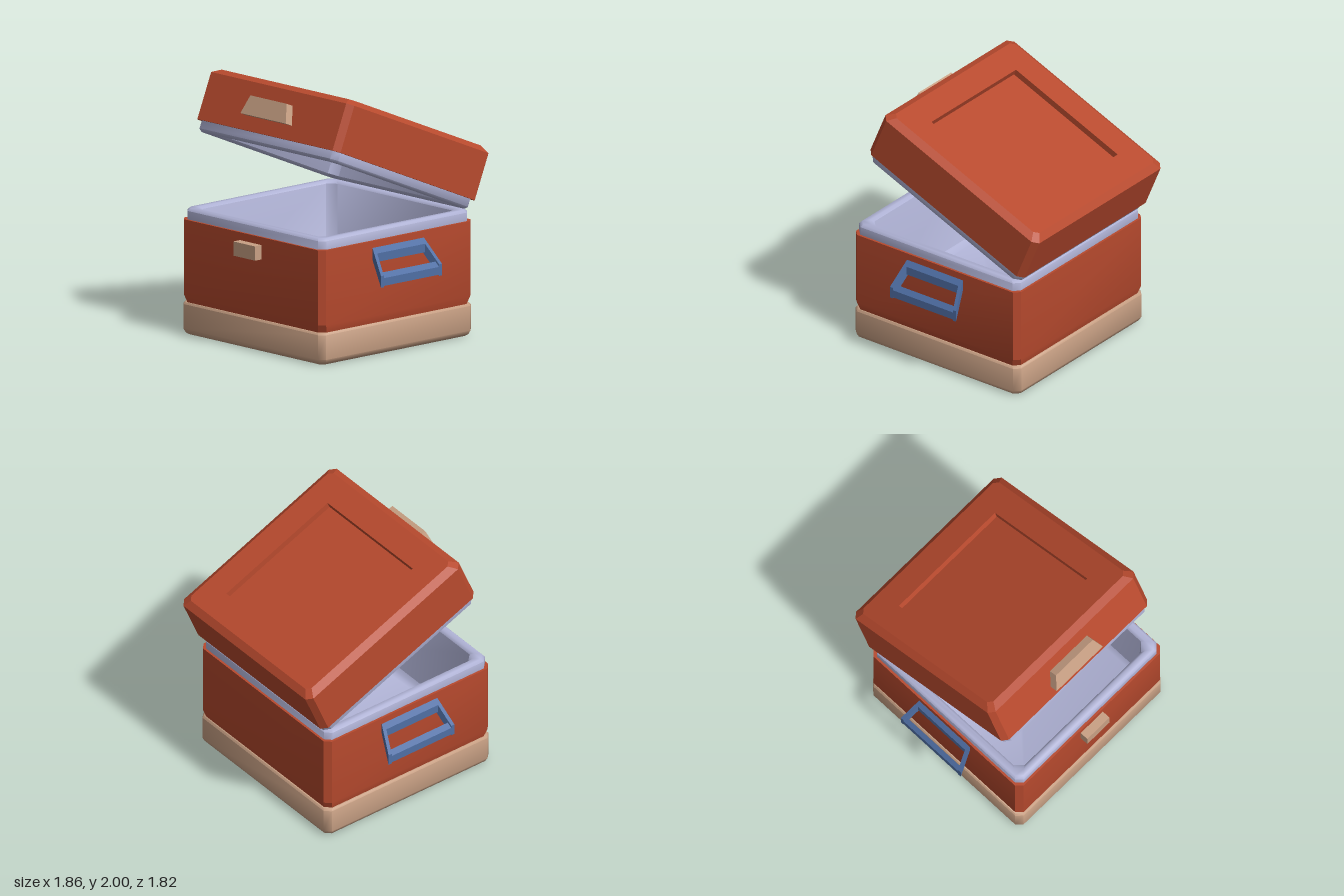
import * as THREE from 'three';
import { toCreasedNormals } from 'three/addons/utils/BufferGeometryUtils.js';

const mat = (name, color) => new THREE.MeshStandardMaterial({ name, color });

// Stacks corner-cut rectangles given as [half width, height, corner cut]; caps face down at the start, up at the end
function loft(rings, crease, startCap, endCap) {
  const pos = [], idx = [];
  for (const [hx, y, c] of rings) {
    const hz = hx + 0.005;
    const outline = [
      [-hx + c, hz], [hx - c, hz], [hx, hz - c], [hx, -hz + c],
      [hx - c, -hz], [-hx + c, -hz], [-hx, -hz + c], [-hx, hz - c],
    ];
    for (const [x, z] of outline) pos.push(x, y, z);
  }
  for (let r = 0; r < rings.length - 1; r++) {
    for (let i = 0; i < 8; i++) {
      const a = r * 8 + i, b = r * 8 + (i + 1) % 8;
      idx.push(a, b, b + 8, a, b + 8, a + 8);
    }
  }
  const last = (rings.length - 1) * 8;
  for (let i = 1; i < 7; i++) {
    if (startCap) idx.push(0, i + 1, i);
    if (endCap) idx.push(last, last + i, last + i + 1);
  }
  const geo = new THREE.BufferGeometry();
  geo.setAttribute('position', new THREE.Float32BufferAttribute(pos, 3));
  geo.setIndex(idx);
  return toCreasedNormals(geo, crease);
}

// Straight prism from an outline in x and y, starting at z = 0
function prism(points, depth) {
  const shape = new THREE.Shape(points.map(([x, y]) => new THREE.Vector2(x, y)));
  return new THREE.ExtrudeGeometry(shape, { depth, bevelEnabled: false });
}

function addMesh(parent, name, geo, material) {
  const mesh = new THREE.Mesh(geo, material);
  mesh.name = name;
  parent.add(mesh);
  return mesh;
}

// Carry handle on the +x side: two splayed arms joined by two bars, sloping down and out
function makeHandle(material) {
  const handle = new THREE.Group();
  const slopeY = x => 0.84 - (x - 0.78) * 1.267;
  const slab = (x0, x1, drop, h) => [
    [x0, slopeY(x0) - drop - h], [x1, slopeY(x1) - drop - h],
    [x1, slopeY(x1) - drop], [x0, slopeY(x0) - drop],
  ];
  for (const side of [-1, 1]) {
    const arm = prism(slab(0.775, 0.93, 0, 0.09), 0.03);
    const p = arm.attributes.position;
    for (let i = 0; i < p.count; i++) {
      const splay = 0.265 + (p.getX(i) - 0.78) / 0.15 * 0.05;
      p.setZ(i, p.getZ(i) - 0.015 + side * (splay - 0.015));
    }
    arm.computeVertexNormals();
    addMesh(handle, 'handleArm', arm, material);
  }
  addMesh(handle, 'handleMount', prism(slab(0.775, 0.815, 0, 0.065), 0.52), material).position.z = -0.26;
  addMesh(handle, 'handleGrip', prism(slab(0.9, 0.93, 0.02, 0.06), 0.58), material).position.z = -0.29;
  return handle;
}

export function createModel() {
  const red = mat('red shell', 0xb84a2e);
  const tan = mat('tan trim', 0xc8a084);
  const lining = mat('pale lining', 0xb0b3d6);
  const blue = mat('blue handle', 0x4f6fa5);

  const model = new THREE.Group();
  model.name = 'coolBox';

  // Lower box
  const body = new THREE.Group();
  body.name = 'body';
  body.position.z = 0.054;
  model.add(body);

  addMesh(body, 'base', loft([
    [0.745, 0, 0.03], [0.77, 0.015, 0.04], [0.785, 0.045, 0.045],
    [0.785, 0.235, 0.045], [0.775, 0.25, 0.045],
  ], 0.9, true, true), tan);

  addMesh(body, 'outerShell', loft([
    [0.763, 0.245, 0.045], [0.783, 0.31, 0.045], [0.783, 0.89, 0.045], [0.7, 0.89, 0.04],
  ], 0.3, false, false), red);

  addMesh(body, 'innerTub', loft([
    [0.765, 0.88, 0.045], [0.765, 0.955, 0.045], [0.748, 0.975, 0.045], [0.71, 0.975, 0.05],
    [0.69, 0.955, 0.06], [0.672, 0.34, 0.06], [0.64, 0.3, 0.06],
  ], 0.9, false, true), lining);

  addMesh(body, 'latchCatch', new THREE.BoxGeometry(0.24, 0.11, 0.08), tan)
    .position.set(0, 0.775, 0.817);

  // Side handles
  for (const side of [1, -1]) {
    const handle = makeHandle(blue);
    handle.name = side > 0 ? 'leftHandle' : 'rightHandle';
    if (side < 0) handle.rotation.y = Math.PI;
    body.add(handle);
  }

  // Open lid, tipped back; its origin is the middle of the red lower edge
  const lid = new THREE.Group();
  lid.name = 'lid';
  lid.position.set(0, 1.335, -0.037);
  lid.rotation.x = -0.395;
  model.add(lid);

  addMesh(lid, 'lidShell', loft([
    [0.7, 0, 0.04], [0.79, 0, 0.045], [0.79, 0.37, 0.045], [0.735, 0.41, 0.035],
    [0.52, 0.41, 0.001], [0.52, 0.36, 0.001],
  ], 0.3, false, true), red);

  addMesh(lid, 'lidLining', loft([
    [0.64, 0.29, 0.06], [0.672, 0.25, 0.06], [0.69, -0.062, 0.06], [0.71, -0.082, 0.05],
    [0.748, -0.082, 0.045], [0.765, -0.062, 0.045], [0.765, 0.01, 0.045],
  ], 0.9, true, false), lining);

  addMesh(lid, 'lidLatch', prism([[-0.25, 0.112], [0.25, 0.112], [0.2, 0.26], [-0.2, 0.26]], 0.08), tan)
    .position.z = 0.783;

  return model;
}
